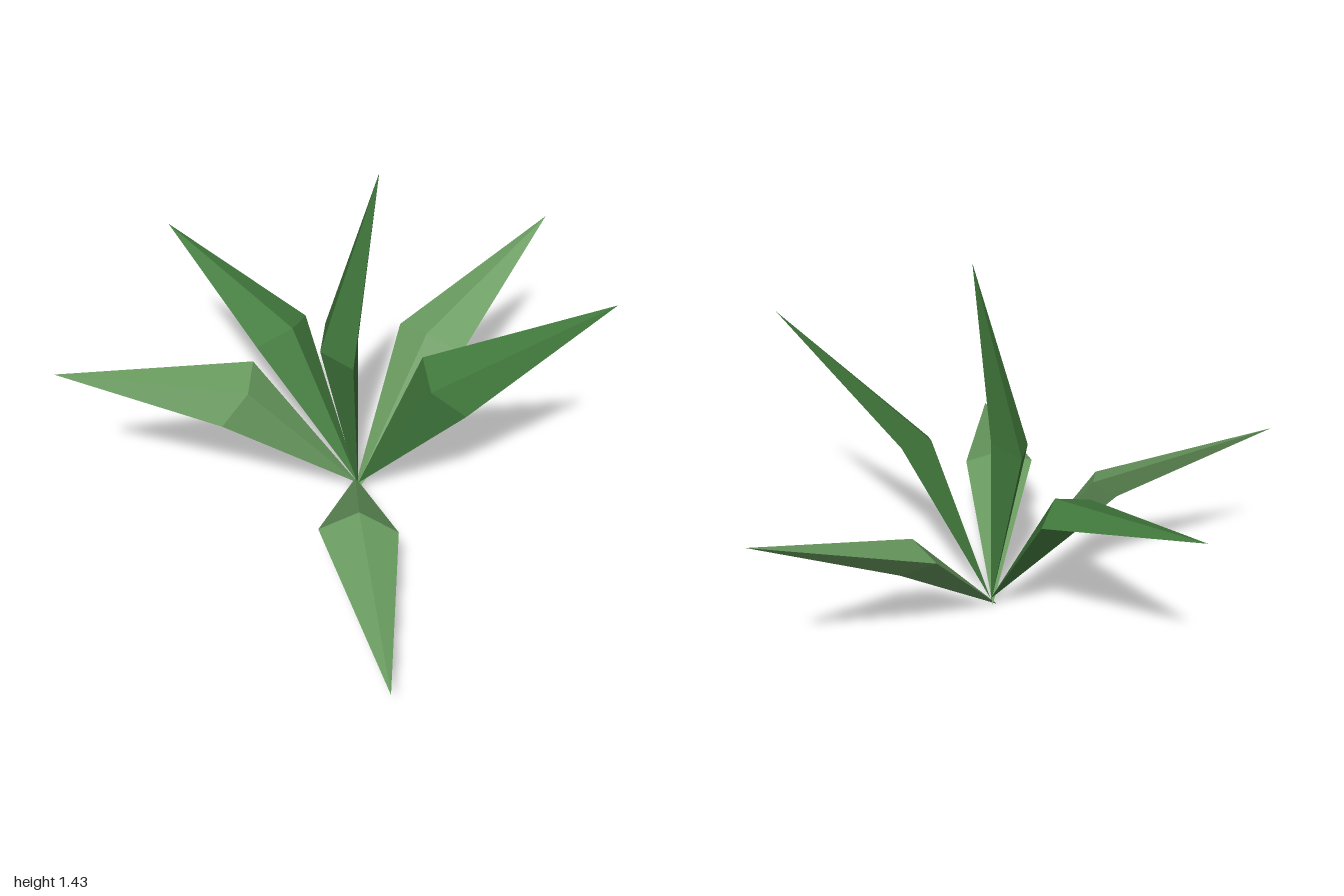
import * as THREE from 'three';

const darkGreen = new THREE.MeshStandardMaterial({ color: 0x437c3e, flatShading: true });
darkGreen.name = 'darkGreen';
const lightGreen = new THREE.MeshStandardMaterial({ color: 0x6a9c60, flatShading: true });
lightGreen.name = 'lightGreen';

// A leaf is a bent spindle: base and tip joined by a diamond cross-section.
// The keel lies opposite the ridge; the ring runs anticlockwise seen from the tip.
function makeLeaf({ name, material, base, edgeA, ridge, edgeB, tip }) {
  const keel = ridge.map((r, i) => edgeA[i] + edgeB[i] - r);
  const ring = [edgeA, ridge, edgeB, keel];
  const corners = ring.flatMap((p, i) => {
    const q = ring[(i + 1) % ring.length];
    return [p, q, tip, q, p, base];
  });
  const geometry = new THREE.BufferGeometry();
  geometry.setAttribute('position', new THREE.Float32BufferAttribute(corners.flat(), 3));
  geometry.computeVertexNormals();
  const leaf = new THREE.Mesh(geometry, material);
  leaf.name = name;
  return leaf;
}

const root = [0.073, 0.045, 0.082];

const leaves = [
  { name: 'uprightLeaf', material: darkGreen, base: [0.073, 0.025, 0.083],
    edgeA: [-0.077, 0.73, 0.083], ridge: [0.003, 0.71, 0.213], edgeB: [0.162, 0.71, 0.226], tip: [0.163, 1.43, 0.088] },
  { name: 'rightLeaf', material: darkGreen, base: root,
    edgeA: [-0.302, 0.592, 0.21], ridge: [-0.24, 0.632, 0.077], edgeB: [-0.293, 0.592, -0.063], tip: [-0.947, 0.784, -0.013] },
  { name: 'leftLeaf', material: darkGreen, base: root,
    edgeA: [0.302, 0.7, 0.007], ridge: [0.406, 0.645, 0.098], edgeB: [0.534, 0.58, 0.065], tip: [0.947, 1.1, -0.16] },
  { name: 'frontRightLeaf', material: lightGreen, base: root,
    edgeA: [-0.198, 0.47, 0.526], ridge: [-0.165, 0.567, 0.418], edgeB: [-0.245, 0.605, 0.296], tip: [-0.627, 0.725, 0.896] },
  { name: 'frontLeftLeaf', material: lightGreen, base: [0.043, 0.04, 0.06],
    edgeA: [0.538, 0.33, 0.459], ridge: [0.414, 0.396, 0.519], edgeB: [0.322, 0.345, 0.627], tip: [0.908, 0.267, 1.0] },
  { name: 'backLeaf', material: lightGreen, base: [0.073, 0, 0.12],
    edgeA: [-0.06, 0.49, -0.358], ridge: [0.085, 0.52, -0.331], edgeB: [0.207, 0.447, -0.395], tip: [0.185, 0.767, -1.0] },
];

export function createModel() {
  const plant = new THREE.Group();
  plant.name = 'plant';
  leaves.forEach((spec) => plant.add(makeLeaf(spec)));
  return plant;
}
